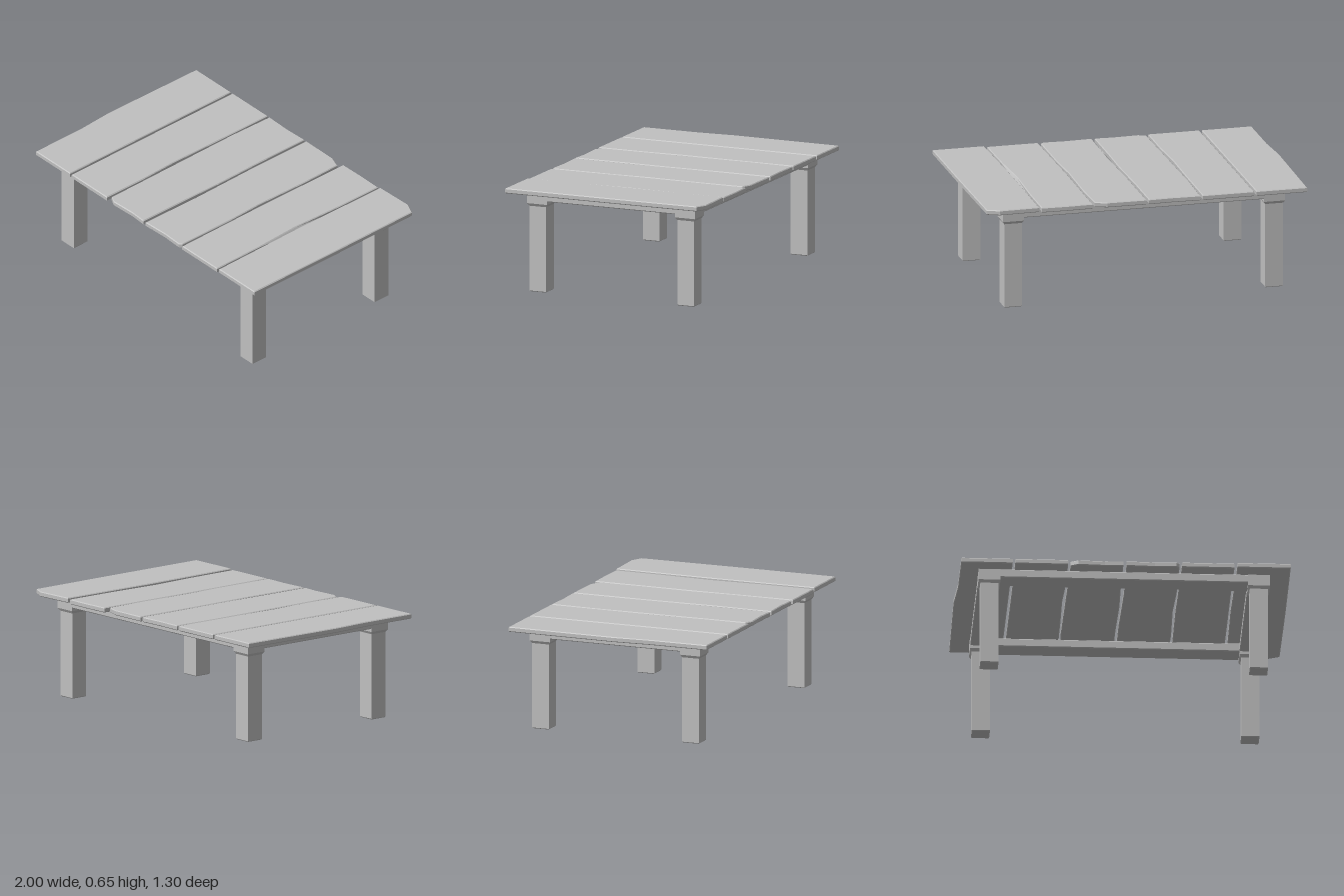
import * as THREE from 'three';

const stone = new THREE.MeshStandardMaterial({ color: 0xc0c0c0 });
stone.name = 'plain grey';

const flat = (geometry) => {
  const g = geometry.index ? geometry.toNonIndexed() : geometry;
  g.computeVertexNormals();
  return g;
};

// Slab with an outline of [x, z] points, chamfered edges, from y0 to y1
function slab(name, outline, y0, y1, chamfer) {
  const shape = new THREE.Shape(outline.map(([x, z]) => new THREE.Vector2(x, -z)));
  const geometry = new THREE.ExtrudeGeometry(shape, {
    depth: y1 - y0 - 2 * chamfer, bevelEnabled: true, bevelSegments: 1,
    bevelSize: chamfer, bevelThickness: chamfer, bevelOffset: -chamfer,
  });
  geometry.rotateX(-Math.PI / 2).translate(0, y0 + chamfer, 0);
  const mesh = new THREE.Mesh(geometry, stone);
  mesh.name = name;
  return mesh;
}

const rect = (x0, x1, z0, z1) => [[x0, z0], [x0, z1], [x1, z1], [x1, z0]];

// Uneven plank outlines: left edge, front edge, right edge, back edge
const planks = [
  [[-0.99, -0.645], [-1, 0.05], [-0.985, 0.28], [-0.985, 0.645], [-0.675, 0.645], [-0.675, -0.645]],
  [[-0.66, -0.645], [-0.66, 0.645], [-0.342, 0.645], [-0.34, 0.35], [-0.35, 0.1], [-0.345, -0.2], [-0.342, -0.645]],
  [[-0.326, -0.645], [-0.335, -0.35], [-0.33, 0.2], [-0.326, 0.62], [-0.28, 0.645], [-0.12, 0.638], [-0.01, 0.645],
    [-0.008, 0.3], [-0.003, 0.05], [-0.009, -0.3], [-0.008, -0.645], [-0.16, -0.64]],
  [[0.008, -0.645], [0.006, -0.2], [0.014, 0.25], [0.008, 0.645], [0.18, 0.638], [0.31, 0.645],
    [0.328, 0.63], [0.33, 0.25], [0.32, 0], [0.328, -0.35], [0.323, -0.615], [0.25, -0.642]],
  [[0.342, -0.645], [0.336, 0], [0.342, 0.645], [0.658, 0.645], [0.656, 0.3], [0.656, 0], [0.656, -0.35],
    [0.658, -0.645], [0.5, -0.648]],
  [[0.675, -0.648], [0.667, 0], [0.675, 0.645], [0.996, 0.645], [0.998, 0], [0.995, -0.62], [0.92, -0.655]],
];

export function createModel() {
  const table = new THREE.Group();
  table.name = 'table';

  // Table top
  planks.forEach((outline, i) => {
    const lift = i === 5 ? 0.006 : 0;
    const plank = slab(`plank${i + 1}`, outline, 0.611 + lift, 0.642 + lift, 0.005);
    if (i === 4) {
      // Worn upper edge in the middle of this plank
      const p = plank.geometry.attributes.position;
      for (let k = 0; k < p.count; k++) {
        if (p.getX(k) > 0.6 && Math.abs(p.getZ(k)) < 0.1 && p.getY(k) > 0.63) p.setX(k, p.getX(k) - 0.014);
      }
      plank.geometry.computeVertexNormals();
    }
    table.add(plank);
  });

  // Apron rails under the top
  for (const s of [-1, 1]) {
    const [zIn, zOut] = s > 0 ? [0.424, 0.555] : [-0.555, -0.424];
    table.add(slab(s > 0 ? 'frontRail' : 'backRail', rect(-0.76, 0.76, zIn, zOut), 0.56, 0.612, 0.005));
    const [xIn, xOut] = s > 0 ? [0.744, 0.875] : [-0.875, -0.744];
    table.add(slab(s > 0 ? 'leftRail' : 'rightRail', rect(xIn, xOut, -0.44, 0.44), 0.56, 0.612, 0.005));
  }

  // Square collar that tapers into the leg
  const r = Math.SQRT2;
  const profile = [[0.05, 0.52], [0.055 * r, 0.525], [0.066 * r, 0.542], [0.066 * r, 0.612], [0, 0.612]]
    .map(([x, y]) => new THREE.Vector2(x, y));
  const collarGeometry = flat(new THREE.LatheGeometry(profile, 4, Math.PI / 4));

  for (const sx of [-1, 1]) {
    for (const sz of [-1, 1]) {
      const leg = new THREE.Group();
      leg.name = `${sz > 0 ? 'front' : 'back'}${sx > 0 ? 'Left' : 'Right'}Leg`;
      const collar = new THREE.Mesh(collarGeometry, stone);
      collar.name = 'collar';
      leg.add(slab('post', rect(-0.055, 0.055, -0.055, 0.055), 0, 0.54, 0.005), collar);
      leg.position.set(sx * 0.81, 0, sz * 0.489);
      table.add(leg);
    }
  }
  return table;
}
